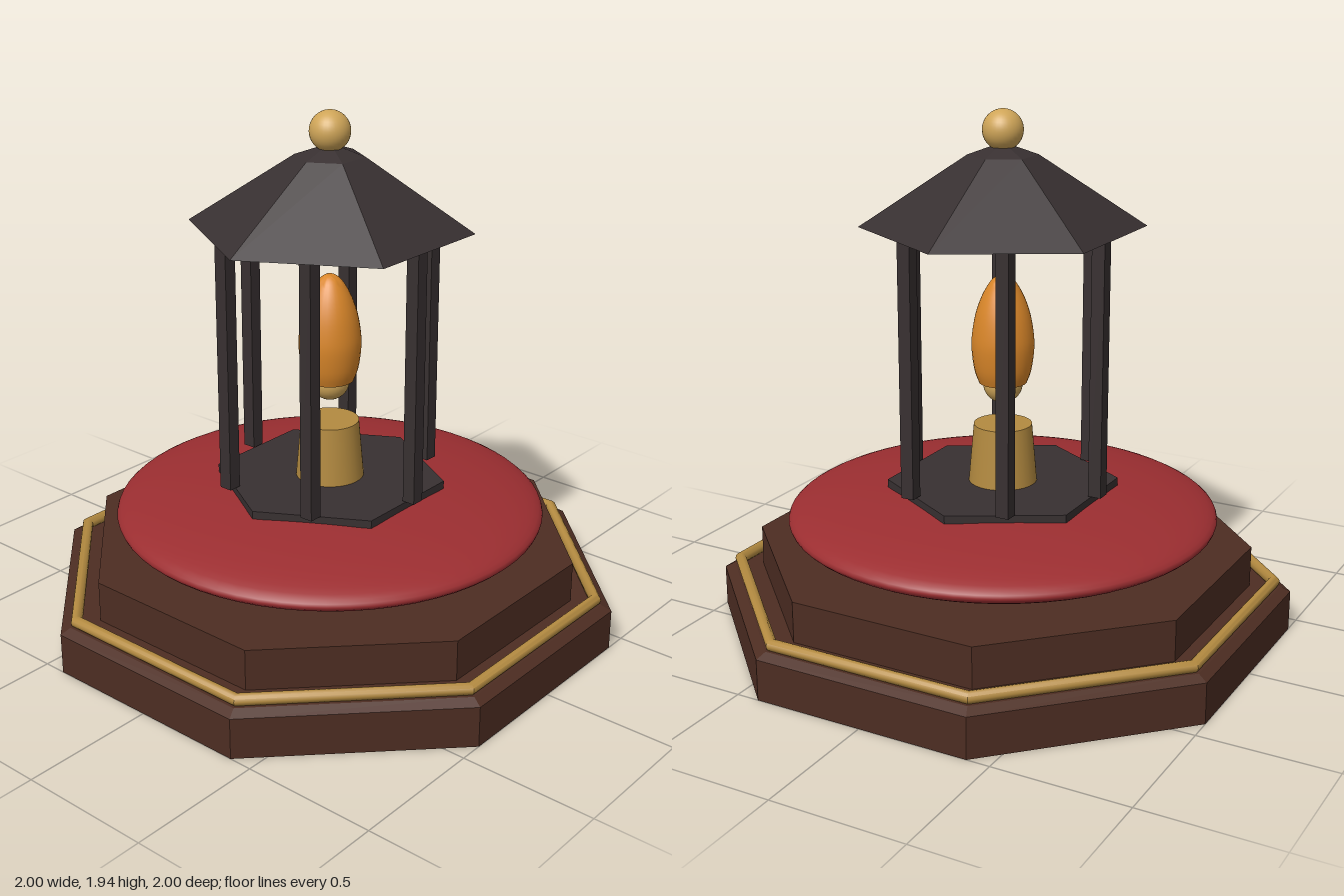
import * as THREE from 'three';
import { toCreasedNormals } from 'three/addons/utils/BufferGeometryUtils.js';

const mat = (name, color) => {
  const m = new THREE.MeshStandardMaterial({ color });
  m.name = name;
  return m;
};

export function createModel() {
  const group = new THREE.Group();
  const wood = mat('dark wood', 0x4d2d22);
  const brass = mat('brass', 0xb38a40);
  const gold = mat('light gold', 0xcfa558);
  const cloth = mat('red cloth', 0x9c2e31);
  const iron = mat('dark iron', 0x383031);
  const flame = mat('amber glass', 0xd98629);

  const add = (name, geometry, material, y = 0, x = 0, z = 0) => {
    const mesh = new THREE.Mesh(geometry, material);
    mesh.name = name;
    mesh.position.set(x, y, z);
    group.add(mesh);
    return mesh;
  };

  // Flat-sided prism or frustum between two heights, measured to its corners
  const prism = (name, sides, rBottom, rTop, y0, y1, turn, material) => {
    const g = new THREE.CylinderGeometry(rTop, rBottom, y1 - y0, sides).rotateY(turn);
    return add(name, toCreasedNormals(g, 0.1), material, (y0 + y1) / 2);
  };

  // Octagonal stepped base, sized to its flats
  const oct = 1 / Math.cos(Math.PI / 8);
  const octTurn = Math.PI / 8;
  prism('baseStep', 8, 1 * oct, 1 * oct, 0, 0.153, octTurn, wood);
  prism('baseBevel', 8, 1 * oct, 0.965 * oct, 0.153, 0.172, octTurn, wood);
  prism('upperStep', 8, 0.86 * oct, 0.86 * oct, 0.172, 0.325, octTurn, wood);

  // Rounded trim following the octagon
  const trim = new THREE.TorusGeometry(0.942 * oct, 0.022, 12, 8)
    .rotateZ(Math.PI / 8).rotateX(-Math.PI / 2);
  add('trim', toCreasedNormals(trim, 0.7), brass, 0.19);

  // Cushion
  add('cushion', new THREE.SphereGeometry(0.8, 64, 32).scale(1, 0.111 / 0.8, 1), cloth, 0.435);

  // Lantern floor, corners on the x axis
  prism('lanternFloor', 6, 0.43, 0.43, 0.53, 0.56, Math.PI / 6, iron);

  // Six square posts over the floor's edges
  for (let i = 0; i < 6; i++) {
    const a = i * Math.PI / 3;
    add('post', new THREE.BoxGeometry(0.05, 0.96, 0.05), iron, 1.045,
      Math.sin(a) * 0.39, Math.cos(a) * 0.39);
  }

  // Hexagonal roof with a shallower cap
  prism('roof', 6, 0.517, 0.127, 1.52, 1.778, Math.PI / 6, iron);
  prism('roofCap', 6, 0.127, 0.03, 1.778, 1.812, Math.PI / 6, iron);
  add('finial', new THREE.SphereGeometry(0.074, 32, 20), gold, 1.866);

  // Tapered candle holder
  add('holder', new THREE.CylinderGeometry(0.108, 0.128, 0.23, 32), brass, 0.665);

  // Glowing bulb with its rounded foot
  add('bulbFoot', new THREE.SphereGeometry(0.073, 32, 20), gold, 0.935);
  const outline = new THREE.SplineCurve([
    [0.088, 0.94], [0.105, 0.99], [0.115, 1.07], [0.112, 1.13], [0.099, 1.2],
    [0.076, 1.265], [0.046, 1.317], [0.02, 1.34], [0, 1.345],
  ].map(([x, y]) => new THREE.Vector2(x, y)));
  const profile = [new THREE.Vector2(0, 0.94), ...outline.getPoints(28)];
  profile[profile.length - 1].x = 0;
  add('bulb', toCreasedNormals(new THREE.LatheGeometry(profile, 32), 0.7), flame);

  return group;
}
